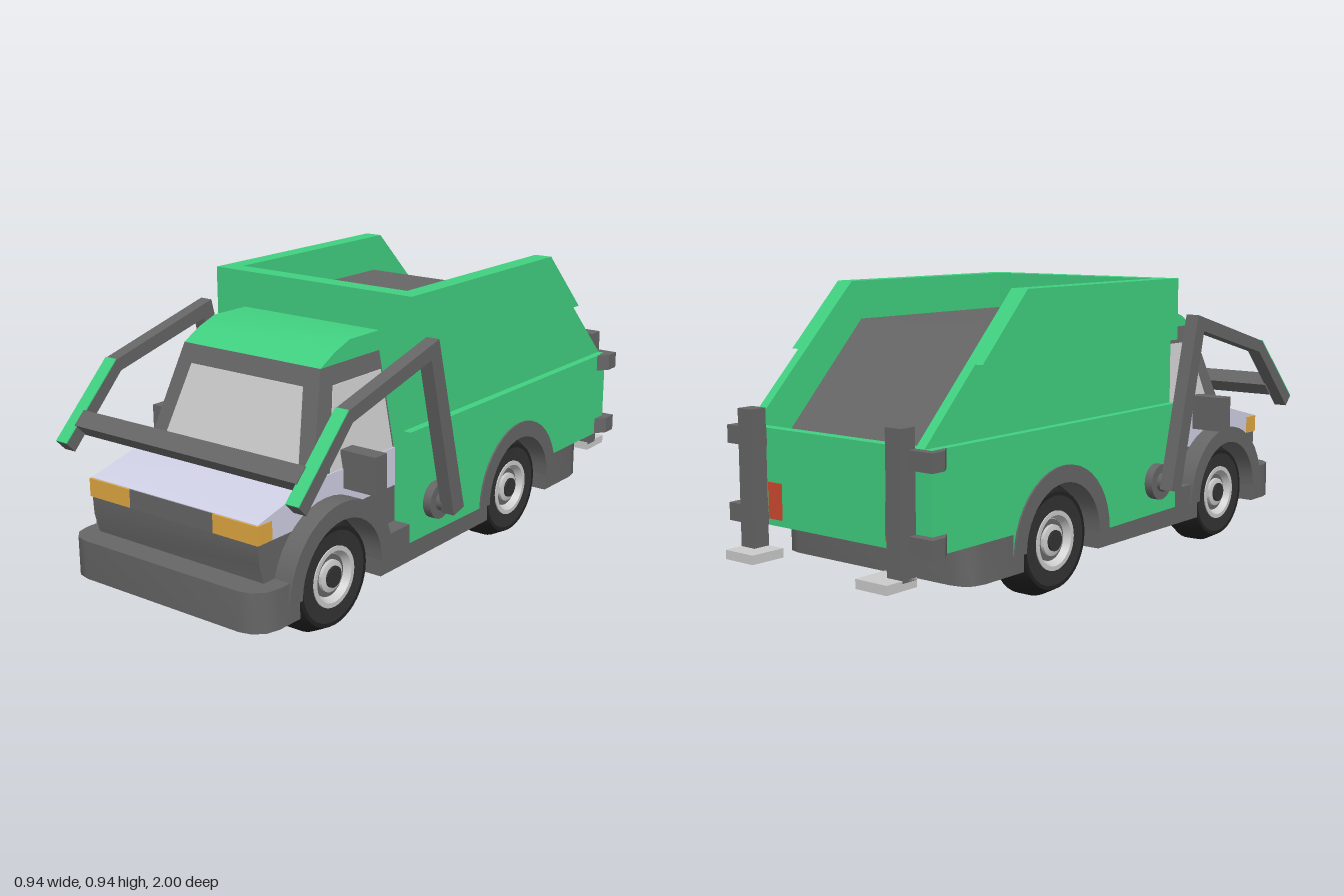
import * as THREE from 'three';
import { toCreasedNormals } from 'three/addons/utils/BufferGeometryUtils.js';

const mat = (color) => new THREE.MeshStandardMaterial({ color });
const green = mat(0x40d080), dark = mat(0x666666), black = mat(0x333333), tread = mat(0x222222);
const grey = mat(0xcccccc), lavender = mat(0xd0d0e6), amber = mat(0xe0a840), red = mat(0xd04a30);
const AXLES = [0.65, -0.3], WHEEL_Y = 0.175;

export function createModel() {
  const model = new THREE.Group();

  const add = (name, geometry, material, parent = model) => {
    const mesh = new THREE.Mesh(geometry, material);
    mesh.name = name;
    parent.add(mesh);
    return mesh;
  };
  const toShape = (pts) => new THREE.Shape(pts.map(([a, b]) => new THREE.Vector2(a, b)));
  // side profile in (z, y), extruded from x0 to x1
  const profile = (pts, x0, x1) => {
    const g = new THREE.ExtrudeGeometry(toShape(pts), { depth: x1 - x0, bevelEnabled: false });
    g.rotateY(-Math.PI / 2).translate(x1, 0, 0);
    return toCreasedNormals(g, 0.4);
  };
  // plan outline in (x, z), extruded from y0 to y1
  const plan = (pts, y0, y1) => {
    const g = new THREE.ExtrudeGeometry(toShape(pts.map(([x, z]) => [x, -z])), { depth: y1 - y0, bevelEnabled: false });
    return toCreasedNormals(g.rotateX(-Math.PI / 2).translate(0, y0, 0), 0.6);
  };
  const box = (x0, x1, y0, y1, z0, z1) =>
    new THREE.BoxGeometry(x1 - x0, y1 - y0, z1 - z0).translate((x0 + x1) / 2, (y0 + y1) / 2, (z0 + z1) / 2);
  // x range on the given side
  const span = (s, a, b) => (s > 0 ? [a, b] : [-b, -a]);
  // half circle over an axle, running from rear to front (or reversed)
  const arc = (zc, r, reverse = false) => {
    const pts = [];
    for (let i = 0; i <= 20; i++) {
      const a = Math.PI * (1 - i / 20);
      pts.push([zc + r * Math.cos(a), WHEEL_Y + r * Math.sin(a)]);
    }
    return reverse ? pts.reverse() : pts;
  };
  // block tapering upward; b and t are [half width, rear z, front z]
  const taper = (y0, y1, b, t) => {
    const g = new THREE.BoxGeometry(2, 1, 1).toNonIndexed();
    const p = g.attributes.position;
    for (let i = 0; i < p.count; i++) {
      const top = p.getY(i) > 0, [w, zr, zf] = top ? t : b;
      p.setXYZ(i, p.getX(i) * w, top ? y1 : y0, p.getZ(i) > 0 ? zf : zr);
    }
    g.computeVertexNormals();
    return g;
  };

  // chassis with wheel notches and rounded corners
  const half = [[0.3, 1], [0.34, 0.99], [0.37, 0.96], [0.38, 0.92]];
  for (const z of AXLES) half.push([0.38, z + 0.185], [0.2, z + 0.185], [0.2, z - 0.185], [0.38, z - 0.185]);
  half.push([0.38, -0.66], [0.37, -0.7], [0.35, -0.72], [0.31, -0.73]);
  add('chassis', plan([...half, ...half.map(([x, z]) => [-x, z]).reverse()], 0.12, 0.24), dark);

  // wheels and arches
  const tyre = [[0, -0.147], [0.145, -0.147], [0.175, -0.1], [0.175, -0.05], [0.15, 0], [0.138, 0]];
  const sidewall = [[0.138, 0], [0.09, -0.002], [0.09, -0.02]];
  const rim = [[0.092, -0.02], [0.092, 0.002], [0.078, 0.002], [0.066, -0.022], [0, -0.022]];
  const lathe = (pts) => {
    const g = new THREE.LatheGeometry(pts.map(([r, h]) => new THREE.Vector2(r, h)), 40);
    return toCreasedNormals(g.rotateZ(-Math.PI / 2), 0.5);
  };
  for (const z of AXLES) for (const s of [1, -1]) {
    const wheel = new THREE.Group();
    wheel.name = (z > 0 ? 'front' : 'rear') + 'Wheel';
    add('tyre', lathe(tyre), tread, wheel);
    add('sidewall', lathe(sidewall), black, wheel);
    add('rim', lathe(rim), grey, wheel);
    add('rimRecess', lathe([[0.064, -0.022], [0.064, -0.018], [0.05, -0.018], [0, -0.018]]), dark, wheel);
    add('hubRing', lathe([[0.048, -0.022], [0.048, -0.008], [0.034, -0.004], [0, -0.004]]), grey, wheel);
    add('hubCap', lathe([[0.032, -0.01], [0.032, 0.002], [0, 0.002]]), black, wheel);
    wheel.position.set(s * 0.352, WHEEL_Y, z);
    if (s < 0) wheel.rotation.y = Math.PI;
    model.add(wheel);
    add('wheelArch', profile([...arc(z, 0.235), ...arc(z, 0.182, true)], ...span(s, 0.2, 0.388)), dark);
  }

  // cab
  add('cabLower', profile([[0.32, 0.18], ...arc(0.65, 0.185), [0.915, 0.18], [0.92, 0.24], [0.937, 0.3],
    [0.94, 0.355], [0.32, 0.355]], -0.324, 0.324), dark);
  add('bonnet', profile([[0.32, 0.355], [0.94, 0.355], [0.94, 0.415], [0.7, 0.475], [0.32, 0.475]], -0.325, 0.325), lavender);
  add('grille', box(-0.165, 0.165, 0.355, 0.413, 0.9, 0.943), dark);
  for (const s of [1, -1]) add('headlight', box(...span(s, 0.163, 0.328), 0.357, 0.413, 0.885, 0.945), amber);
  add('cabUpper', taper(0.475, 0.765, [0.32, 0.32, 0.7], [0.265, 0.32, 0.595]), dark);
  add('windscreen', taper(0.476, 0.71, [0.265, 0.5, 0.703], [0.217, 0.5, 0.618]), grey);
  add('sideWindows', taper(0.476, 0.71, [0.323, 0.33, 0.625], [0.279, 0.33, 0.555]), grey);
  add('cabRoof', profile([[0.32, 0.765], [0.595, 0.765], [0.53, 0.8], [0.46, 0.825], [0.32, 0.825]], -0.265, 0.265), green);

  // hopper side walls, stepped out above and below a recessed band
  const sill = [[-0.88, 0.24], [-0.535, 0.24], [-0.535, 0.18], ...arc(-0.3, 0.185), [0.32, 0.18]];
  for (const s of [1, -1]) {
    add('hopperWall', profile([...sill, [0.32, 0.94], [-0.47, 0.94], [-0.88, 0.53]], ...span(s, 0.322, 0.355)), green);
    add('upperPanel', profile([[0.32, 0.74], [0.32, 0.94], [-0.47, 0.94], [-0.67, 0.74]], ...span(s, 0.35, 0.382)), green);
    add('lowerPanel', profile([...sill, [0.32, 0.53], [-0.88, 0.53]], ...span(s, 0.35, 0.382)), green);
  }
  add('hopperFront', box(-0.323, 0.323, 0.2, 0.94, 0.26, 0.32), green);
  add('tailgate', profile([[-0.88, 0.24], [-0.88, 0.53], [-0.845, 0.53], [-0.755, 0.43], [-0.755, 0.24]], -0.323, 0.323), green);
  add('hopperBase', profile([[-0.76, 0.24], [-0.5, 0.24], ...arc(-0.3, 0.185), [0.27, 0.2], [0.27, 0.44], [-0.76, 0.44]],
    -0.323, 0.323), green);
  add('hopperFloor', profile([[0.265, 0.42], [0.265, 0.82], [-0.43, 0.82], [-0.76, 0.48], [-0.76, 0.42]], -0.323, 0.323), dark);

  // lifting arms, mirrors and rear supports
  const arm = [[0.94, 0.497], [0.727, 0.711], [0.305, 0.825], [0.16, 0.27], [0.215, 0.257], [0.342, 0.77],
    [0.71, 0.674], [0.91, 0.466]];
  for (const s of [1, -1]) {
    add('liftArm', profile(arm, ...span(s, 0.425, 0.47)), dark);
    add('armTopStrip', profile([[0.94, 0.497], [0.727, 0.711], [0.729, 0.714], [0.942, 0.5]], ...span(s, 0.425, 0.47)), green);
    for (const [r, x0, x1] of [[0.058, 0.375, 0.41], [0.03, 0.4, 0.43]]) {
      const pivot = new THREE.CylinderGeometry(r, r, x1 - x0, 28).rotateZ(Math.PI / 2);
      add('armPivot', pivot.translate(s * (x0 + x1) / 2, 0.287, 0.195), dark);
    }
    add('mirror', box(...span(s, 0.315, 0.44), 0.415, 0.53, 0.515, 0.57), dark);

    for (const y of [0.24, 0.475]) {
      const bracket = [[0.27, -0.878], [0.27, -0.91], [0.41, -0.91], [0.41, -0.86], [0.38, -0.82], [0.378, -0.878]];
      add('supportBracket', plan(bracket.map(([x, z]) => [s * x, z]), y, y + 0.055), dark);
    }
    add('supportPost', box(...span(s, 0.268, 0.325), 0.17, 0.59, -0.94, -0.884), dark);
    add('supportFoot', box(...span(s, 0.208, 0.325), 0.15, 0.178, -1, -0.882), grey);
    add('tailLight', box(...span(s, 0.21, 0.265), 0.26, 0.37, -0.884, -0.87), red);
  }
  const bar = add('crossBar', new THREE.BoxGeometry(0.86, 0.055, 0.055), dark);
  bar.position.set(0, 0.545, 0.863);
  bar.rotation.x = Math.PI / 4;

  return model;
}
